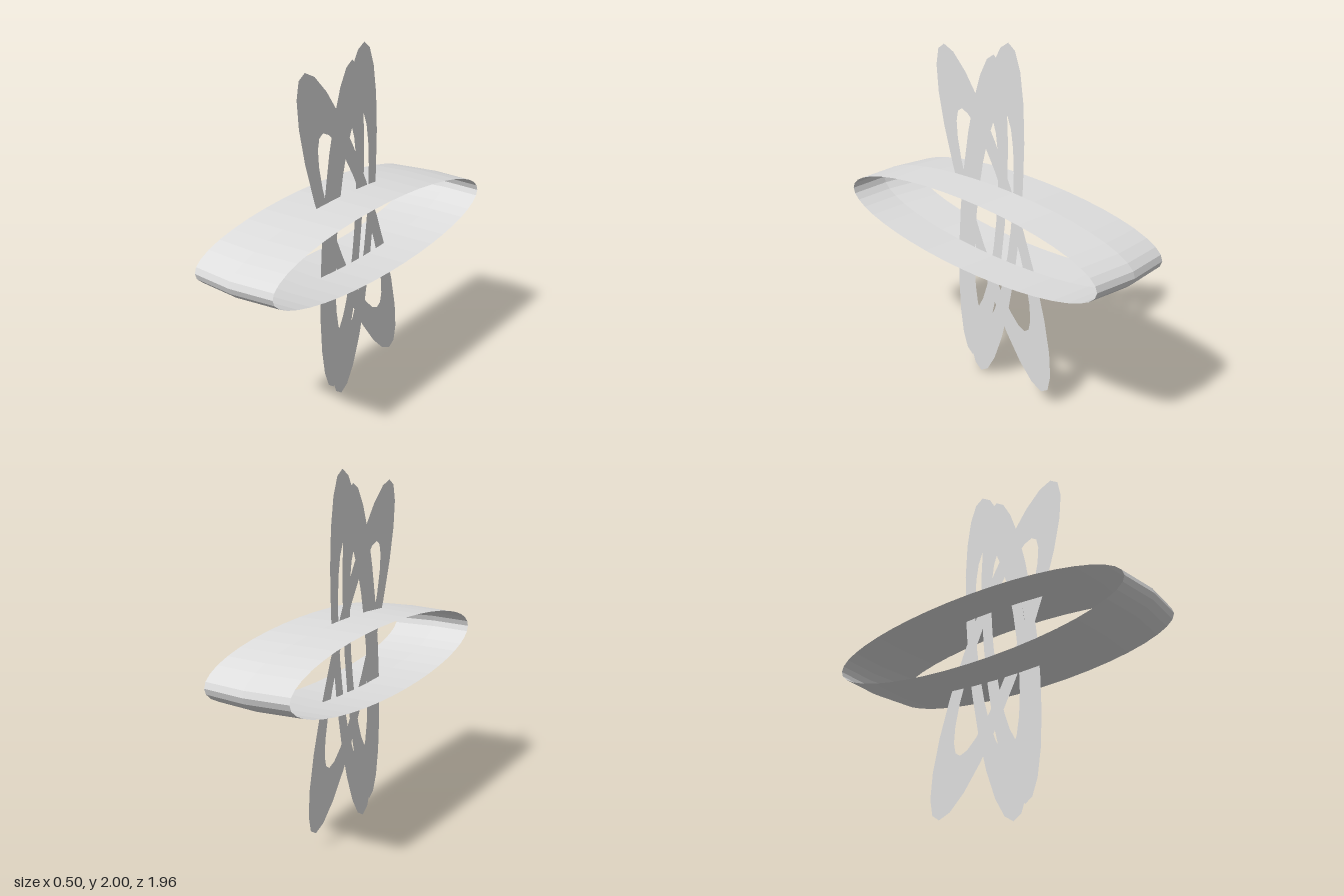
import * as THREE from 'three';

const TAU = Math.PI * 2;
const SIDES = 24;

// Points of a slanted ellipse: half height h, half width w, sideways lean of its top
function slantedEllipse(cx, h, w, lean) {
  const minor = Math.sqrt(w * w - lean * lean);
  return Array.from({ length: SIDES }, (_, i) => {
    const t = (i / SIDES) * TAU;
    return new THREE.Vector2(cx + lean * Math.cos(t) + minor * Math.sin(t), 1 + h * Math.cos(t));
  });
}

export function createModel() {
  const model = new THREE.Group();
  model.name = 'crossedRings';

  const paleGrey = new THREE.MeshStandardMaterial({ color: 0xdddddd, side: THREE.DoubleSide, flatShading: true });
  paleGrey.name = 'paleGrey';

  function add(name, geometry) {
    const mesh = new THREE.Mesh(geometry, paleGrey);
    mesh.name = name;
    model.add(mesh);
  }

  // Wide horizontal hoop with a slight ridge along its middle
  const profile = [[0.953, -0.25], [0.978, 0], [0.953, 0.25]].map(([r, y]) => new THREE.Vector2(r, y));
  const hoop = new THREE.LatheGeometry(profile, 40);
  hoop.rotateZ(-Math.PI / 2);
  hoop.scale(1, 0.215, 1);
  hoop.translate(0, 1, 0);
  add('wideHoop', hoop);

  // Flat upright rings, all in the middle plane: [centre, outer, inner]
  const rings = {
    leaningRing: [0, [0.92, 0.451, -0.385], [0.589, 0.292, -0.248]],
    frontRing: [-0.09, [0.923, 0.2, 0.09], [0.589, 0.127, 0.06]],
    tallRing: [0, [1, 0.228, 0.106], [0.64, 0.154, 0.072]],
  };
  for (const [name, [centre, outer, inner]] of Object.entries(rings)) {
    const shape = new THREE.Shape(slantedEllipse(centre, ...outer));
    shape.holes.push(new THREE.Path(slantedEllipse(centre, ...inner)));
    add(name, new THREE.ShapeGeometry(shape).rotateY(Math.PI / 2));
  }

  return model;
}
